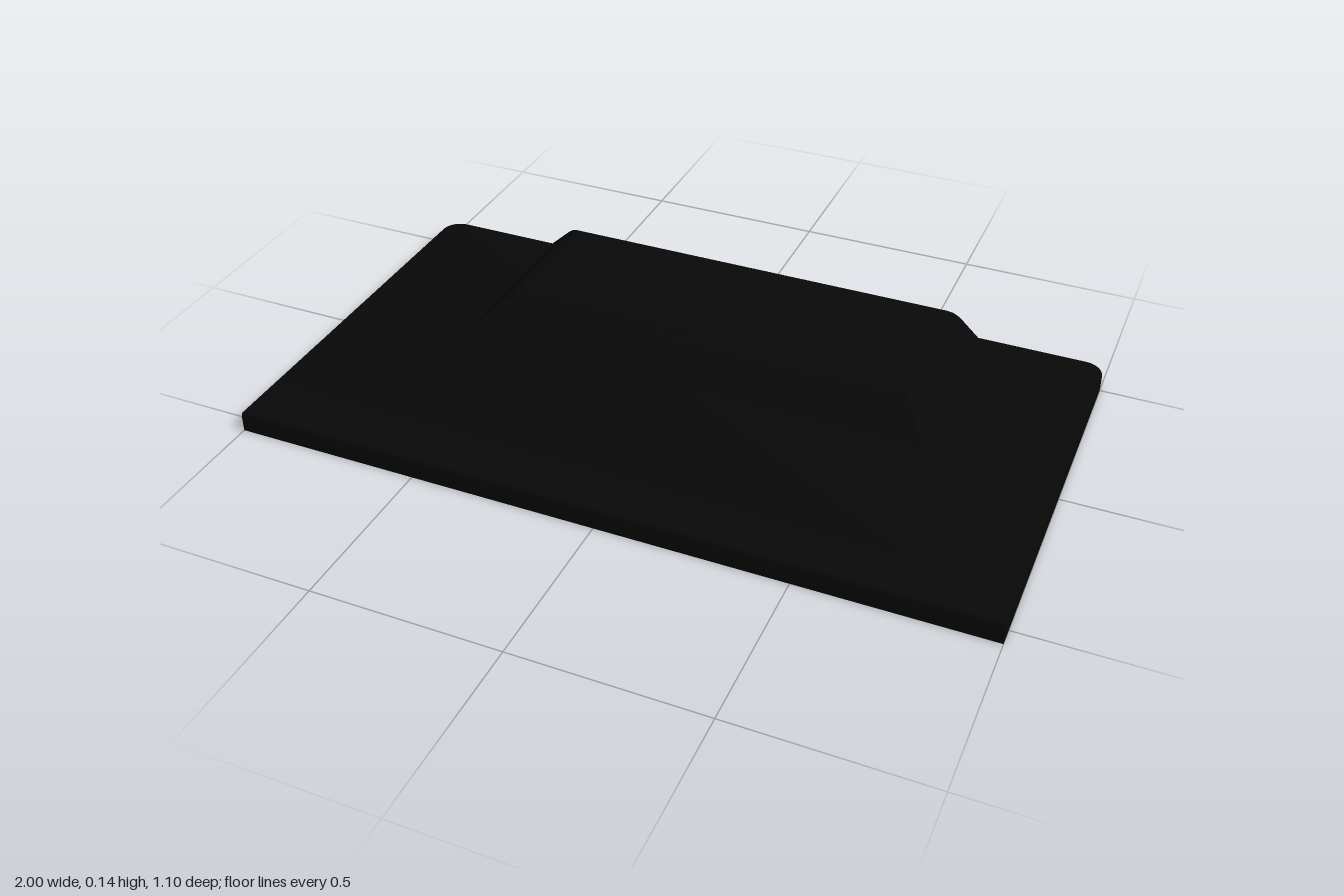
import * as THREE from 'three';
import { toCreasedNormals } from 'three/addons/utils/BufferGeometryUtils.js';

// Skins a stack of matching rings (counter-clockwise from above, bottom to top) and caps both ends.
function loft(rings) {
  const n = rings[0].length, pos = [], index = [];
  for (const ring of rings) for (const p of ring) pos.push(...p);
  for (let i = 0; i < rings.length - 1; i++) {
    for (let j = 0; j < n; j++) {
      const k = (j + 1) % n, a = i * n + j, b = i * n + k;
      index.push(a, b, b + n, a, b + n, a + n);
    }
  }
  const last = (rings.length - 1) * n;
  for (let j = 1; j < n - 1; j++) {
    index.push(0, j + 1, j);
    index.push(last, last + j, last + j + 1);
  }
  const geo = new THREE.BufferGeometry();
  geo.setAttribute('position', new THREE.Float32BufferAttribute(pos, 3));
  geo.setIndex(index);
  return toCreasedNormals(geo.toNonIndexed(), 0.6);
}

// Plate outline: square front corners, rounded back corners.
function plateRing(y, inset, backInset = 0) {
  const w = 1 - inset, front = 0.547 - inset, back = -0.55 + inset + backInset;
  const r = 0.05, steps = 6, right = [[w, y, front]];
  for (let i = 0; i <= steps; i++) {
    const a = (i / steps) * Math.PI / 2;
    right.push([w - r + r * Math.cos(a), y, back + r - r * Math.sin(a)]);
  }
  return [...right, ...right.map(([x, h, z]) => [-x, h, z]).reverse()];
}

// Rectangular section of the raised housing.
function housingRing([w, y, front, back]) {
  return [[w, y, front], [w, y, back], [-w, y, back], [-w, y, front]];
}

export function createModel() {
  const group = new THREE.Group();
  const material = new THREE.MeshStandardMaterial({ color: 0x080808 });
  const add = (name, rings) => {
    const mesh = new THREE.Mesh(loft(rings), material);
    mesh.name = name;
    group.add(mesh);
  };

  // Flat plate with a shallow recessed underside and a rounded back edge
  const plate = [plateRing(0.01, 0.035), plateRing(0, 0.035), plateRing(0, 0), plateRing(0.035, 0)];
  for (let i = 1; i <= 5; i++) {
    const a = (i / 5) * Math.PI / 2, c = 1 - Math.cos(a);
    plate.push(plateRing(0.035 + 0.022 * Math.sin(a), 0.004 * c, 0.016 * c));
  }
  add('basePlate', plate);

  // Raised housing: sloped front and sides, upright back, soft top edges
  // Each row: half width, height, front z, back z
  add('raisedHousing', [
    [0.655, 0.055, 0.008, -0.535],
    [0.597, 0.108, -0.076, -0.535],
    [0.588, 0.116, -0.09, -0.532],
    [0.576, 0.125, -0.107, -0.527],
    [0.562, 0.132, -0.125, -0.519],
    [0.55, 0.136, -0.14, -0.51],
    [0.536, 0.137, -0.155, -0.497],
  ].map(housingRing));

  return group;
}
